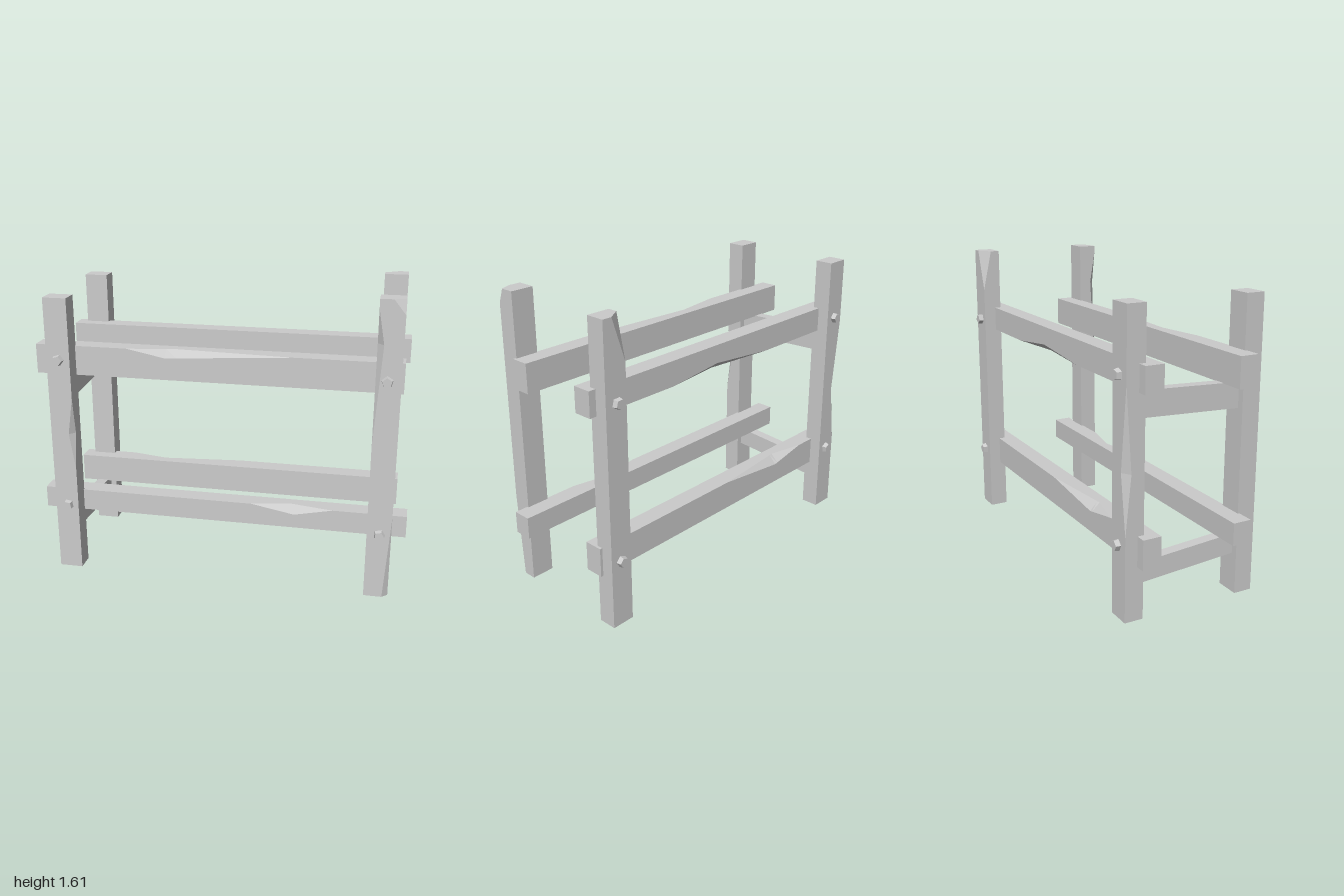
import * as THREE from 'three';

const wood = new THREE.MeshStandardMaterial({ color: 0xcccccc, flatShading: true });

// A chip on the long edge at corner (sx, sz), from a to b along the beam:
// cut dx deep across x at px, and dz deep across z at pz
const chip = (sx, sz, a, b, px, dx, pz, dz) => ({ sx, sz, a, b, px, dx, pz, dz });

function cutDepth(t, a, b, peak, depth) {
  if (t === peak) return depth;
  if (t <= a || t >= b) return 0;
  return depth * (t < peak ? (t - a) / (peak - a) : (b - t) / (b - peak));
}

// Beam along y from t0 to t1, lofted through rings whose corners open up at chips
function beamGeometry(t0, t1, width, depth, chips = []) {
  const corners = [[1, -1], [1, 1], [-1, 1], [-1, -1]];
  const stations = [...new Set([t0, t1, ...chips.flatMap(c => [c.a, c.b, c.px, c.pz])])]
    .filter(t => t >= t0 && t <= t1).sort((a, b) => a - b);

  const rings = stations.map(t => corners.flatMap(([sx, sz]) => {
    let cx = 0, cz = 0;
    for (const c of chips) {
      if (c.sx !== sx || c.sz !== sz) continue;
      cx += cutDepth(t, c.a, c.b, c.px, c.dx);
      cz += cutDepth(t, c.a, c.b, c.pz, c.dz);
    }
    const onZFace = new THREE.Vector3(sx * (width / 2 - cx), t, sz * depth / 2);
    const onXFace = new THREE.Vector3(sx * width / 2, t, sz * (depth / 2 - cz));
    return sx * sz < 0 ? [onZFace, onXFace] : [onXFace, onZFace];
  }));

  const points = [];
  const tri = (a, b, c) => {
    if (new THREE.Triangle(a, b, c).getArea() > 1e-9) points.push(a, b, c);
  };
  for (let s = 0; s < rings.length - 1; s++) {
    const lo = rings[s], hi = rings[s + 1];
    for (let i = 0; i < 8; i++) {
      const j = (i + 1) % 8;
      tri(lo[i], hi[i], lo[j]);
      tri(hi[i], hi[j], lo[j]);
    }
  }
  const bottom = rings[0], top = rings[rings.length - 1];
  for (let i = 1; i < 7; i++) {
    tri(bottom[0], bottom[i], bottom[i + 1]);
    tri(top[0], top[i + 1], top[i]);
  }
  const geometry = new THREE.BufferGeometry().setFromPoints(points);
  geometry.computeVertexNormals();
  return geometry;
}

export function createModel() {
  const model = new THREE.Group();
  model.name = 'fenceFrame';
  const add = (name, geometry, x = 0, y = 0, z = 0) => {
    const mesh = new THREE.Mesh(geometry, wood);
    mesh.name = name;
    mesh.position.set(x, y, z);
    model.add(mesh);
    return mesh;
  };

  // Upright posts
  const post = (name, x, z, height, chips) =>
    add(name, beamGeometry(0, height, 0.127, 0.1, chips), x, 0, z);
  post('frontRightPost', -0.844, 0.323, 1.54, [chip(1, 1, 0.6, 1.0, 0.8, 0.03, 0.8, 0.03)]);
  post('frontLeftPost', 0.862, 0.323, 1.605, [
    chip(-1, 1, 0.85, 1.56, 1.38, 0.032, 1.38, 0.03),
    chip(1, 1, 0, 0.47, 0, 0.03, 0, 0.028),
    chip(1, 1, 1.53, 1.605, 1.605, 0.06, 1.605, 0.028),
  ]);
  post('backRightPost', -0.844, -0.323, 1.54, [chip(-1, -1, 0.44, 1.18, 0.75, 0.045, 0.75, 0.03)]);
  post('backLeftPost', 0.862, -0.323, 1.605, [chip(-1, -1, 1.38, 1.605, 1.605, 0.075, 1.605, 0.05)]);

  // Long rails, turned so the beam runs along x (its local -x side faces up)
  const rail = (name, x0, x1, y0, y1, z, chips) => {
    const mesh = add(name, beamGeometry(x0, x1, y1 - y0, 0.1, chips), 0, (y0 + y1) / 2, z);
    mesh.rotation.z = -Math.PI / 2;
  };
  rail('frontUpperRail', -1, 0.94, 1.108, 1.267, 0.232, [chip(-1, 1, -0.5, 0.38, -0.29, 0.042, -0.23, 0.042)]);
  rail('frontLowerRail', -1, 1, 0.318, 0.437, 0.232, [chip(-1, 1, 0.17, 0.61, 0.405, 0.043, 0.38, 0.045)]);
  rail('backUpperRail', -0.96, 0.965, 1.133, 1.267, -0.257, [chip(1, -1, -0.3, 0.42, 0.1, 0.035, 0.1, 0.04)]);
  rail('backLowerRail', -0.96, 0.94, 0.28, 0.437, -0.257, [chip(-1, -1, -0.66, 0, -0.43, 0.045, -0.45, 0.045)]);

  // Slanted cross bars joining front and back on the right side
  const crossBar = (name, yFront, yBack, height) => {
    const length = 0.55;
    const geometry = new THREE.BoxGeometry(0.06, height, length);
    const p = geometry.attributes.position;
    for (let i = 0; i < p.count; i++) {
      p.setY(i, p.getY(i) + (p.getZ(i) > 0 ? yFront : yBack));
    }
    geometry.computeVertexNormals();
    add(name, geometry, -0.842);
  };
  crossBar('upperCrossBar', 1.041, 1.066, 0.131);
  crossBar('lowerCrossBar', 0.264, 0.225, 0.107);

  // Five-sided bolt heads on the outer faces of the posts
  const boltGeometry = new THREE.CylinderGeometry(0.026, 0.032, 0.03, 5);
  const bolts = [[-0.842, 1.212], [0.857, 1.196], [-0.838, 0.383], [0.864, 0.365]];
  for (const side of [1, -1]) {
    bolts.forEach(([x, y], i) => {
      const bolt = add(side > 0 ? 'frontBolt' : 'backBolt', boltGeometry, x, y, side * 0.383);
      bolt.rotation.set(side * Math.PI / 2, 0.3 + i * 0.4, 0);
    });
  }
  return model;
}
